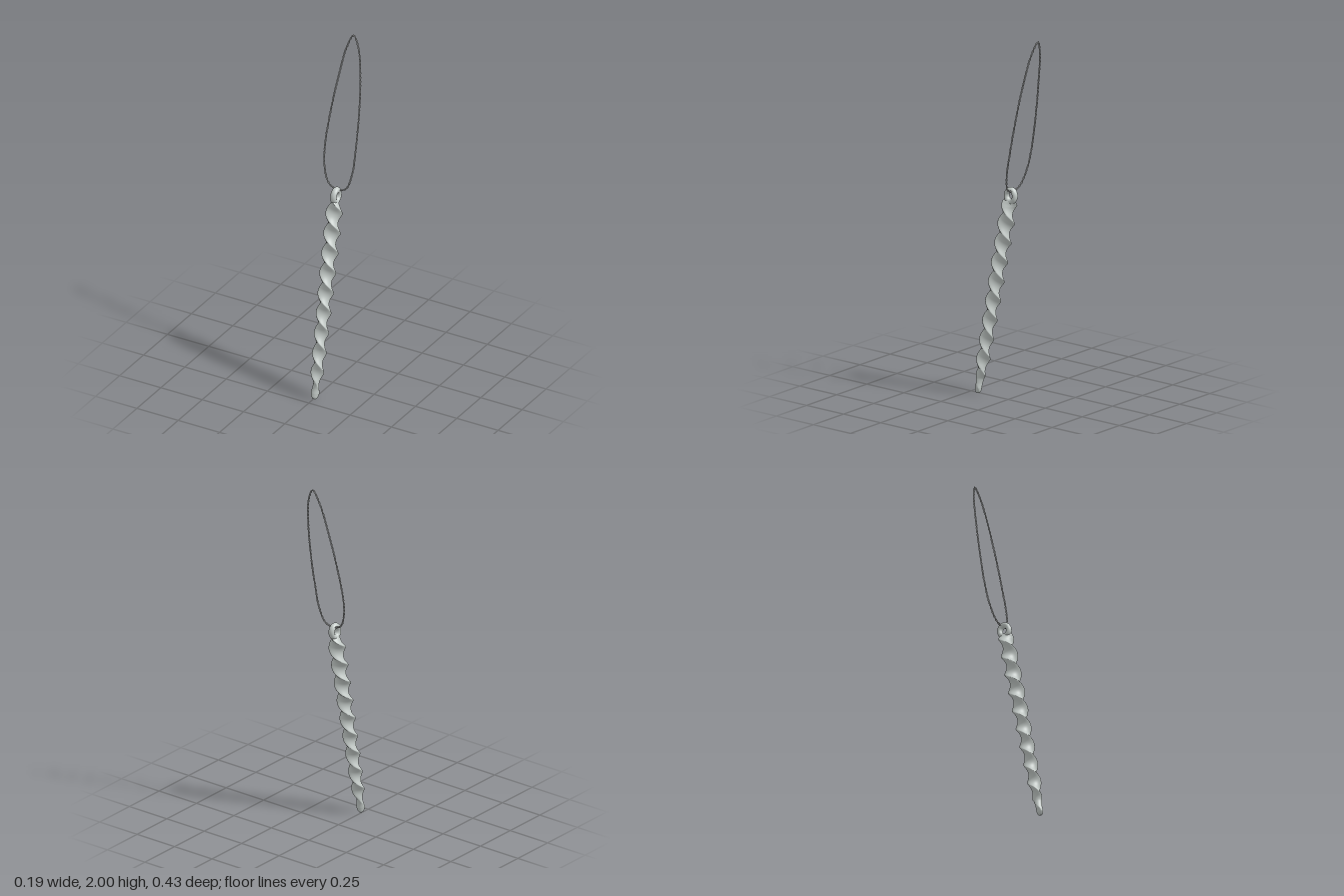
import * as THREE from 'three';

const TILT = Math.atan(0.2);   // whole piece leans back
const HALF_TURN = 0.112;       // length of one half twist
const EYE_Y = 1.135;           // eyelet height along the body axis

// [distance along axis, half width, half thickness]
const PROFILE = [
  [-0.006, 0.0, 0.0], [-0.002, 0.012, 0.011], [0.01, 0.020, 0.016], [0.03, 0.023, 0.018],
  [0.055, 0.021, 0.016], [0.08, 0.022, 0.015], [0.11, 0.031, 0.018], [0.16, 0.037, 0.021],
  [0.4, 0.040, 0.023], [0.75, 0.045, 0.025], [1.03, 0.046, 0.026], [1.08, 0.043, 0.024],
  [1.1, 0.039, 0.019], [1.112, 0.031, 0.014], [1.118, 0.0, 0.0],
];

function sampleProfile(s) {
  let i = 0;
  while (i < PROFILE.length - 2 && s > PROFILE[i + 1][0]) i++;
  const [a, b] = [PROFILE[i], PROFILE[i + 1]];
  const k = (s - a[0]) / (b[0] - a[0]);
  return [a[1] + (b[1] - a[1]) * k, a[2] + (b[2] - a[2]) * k];
}

// Lens-shaped section swept upward while it twists
function twistedBody() {
  const rows = 260, sides = 28, pos = [], idx = [];
  const start = PROFILE[0][0], end = PROFILE[PROFILE.length - 1][0];
  for (let r = 0; r <= rows; r++) {
    const s = start + (end - start) * r / rows;
    const [w, t] = sampleProfile(s);
    const turn = Math.PI / 2 + Math.PI * Math.min(0, s - 1.112) / HALF_TURN;
    const c = Math.cos(turn), n = Math.sin(turn);
    for (let i = 0; i < sides; i++) {
      const a = i / sides * Math.PI * 2;
      const u = w * Math.cos(a);
      const v = t * Math.sin(a) * Math.pow(Math.abs(Math.sin(a)), 0.25);
      pos.push(u * c - v * n, s, u * n + v * c);
    }
  }
  for (let r = 0; r < rows; r++) {
    for (let i = 0; i < sides; i++) {
      const a = r * sides + i, b = r * sides + (i + 1) % sides;
      idx.push(a, a + sides, b, b, a + sides, b + sides);
    }
  }
  const g = new THREE.BufferGeometry();
  g.setAttribute('position', new THREE.Float32BufferAttribute(pos, 3));
  g.setIndex(idx);
  g.computeVertexNormals();
  return g;
}

// Outline of the hanging loop, in its own leaning plane
const LOOP = [
  [0.007, 1.15], [0.055, 1.166], [0.083, 1.25], [0.089, 1.4], [0.086, 1.6], [0.072, 1.78],
  [0.045, 1.93], [0.007, 1.996], [-0.028, 1.92], [-0.058, 1.75], [-0.08, 1.58],
  [-0.094, 1.38], [-0.085, 1.26], [-0.048, 1.172],
];

// One strand winding around the loop outline
function strand(phase) {
  const path = new THREE.CatmullRomCurve3(
    LOOP.map(([x, y]) => new THREE.Vector3(x, y, -0.038 - 0.199 * (y - 1.15))), true);
  const normal = new THREE.Vector3(0, 0.199, 1).normalize();
  const count = 480, turns = 40, pts = [];
  for (let i = 0; i < count; i++) {
    const k = i / count, a = k * turns * Math.PI * 2 + phase;
    const side = path.getTangentAt(k).cross(normal).normalize();
    pts.push(path.getPointAt(k)
      .addScaledVector(side, 0.0024 * Math.cos(a))
      .addScaledVector(normal, 0.0024 * Math.sin(a)));
  }
  return new THREE.TubeGeometry(new THREE.CatmullRomCurve3(pts, true), 960, 0.0028, 8, true);
}

export function createModel() {
  const silver = new THREE.MeshStandardMaterial({ color: 0xc4cbc8 });
  silver.name = 'silver grey';
  const cordGrey = new THREE.MeshStandardMaterial({ color: 0xb8baba });
  cordGrey.name = 'cord grey';

  const model = new THREE.Group();
  model.name = 'icicleOrnament';

  const add = (parent, name, geometry, material) => {
    const mesh = new THREE.Mesh(geometry, material);
    mesh.name = name;
    parent.add(mesh);
    return mesh;
  };

  // Icicle with its eyelet
  const icicle = new THREE.Group();
  icicle.name = 'icicle';
  icicle.position.set(0.006, 0.008, 0.2);
  icicle.rotation.x = -TILT;
  model.add(icicle);
  add(icicle, 'twistedBody', twistedBody(), silver);

  const eyelet = add(icicle, 'eyelet', new THREE.TorusGeometry(0.029, 0.0145, 16, 40), silver);
  eyelet.geometry.scale(0.95, 1.12, 1.2);
  eyelet.rotation.y = Math.PI / 2;
  eyelet.position.y = EYE_Y;

  // Twisted hanging cord
  const cord = new THREE.Group();
  cord.name = 'hangingCord';
  model.add(cord);
  add(cord, 'cordStrandA', strand(0), cordGrey);
  add(cord, 'cordStrandB', strand(Math.PI), cordGrey);

  return model;
}
